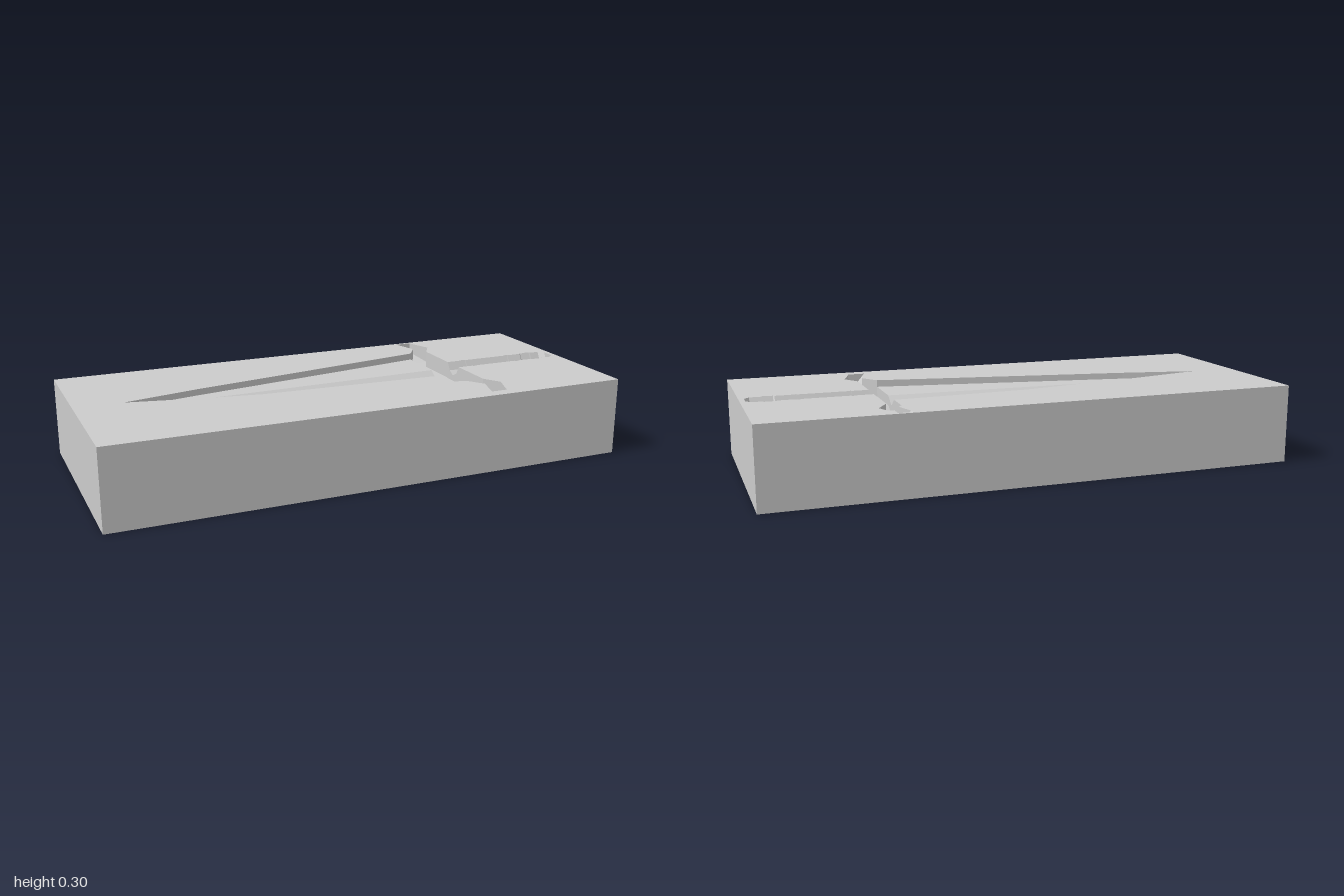
import * as THREE from 'three';

const H = 0.298, L = 2, W = 0.854;   // block size
const C = -0.018;                    // z of the cavity's centre line
const FLOOR = 0.065, GROOVE = 0.095; // guard depths

const solid = new THREE.MeshStandardMaterial({ color: 0xcccccc, flatShading: true });
const open = new THREE.MeshStandardMaterial({ color: 0xcccccc, flatShading: true, side: THREE.DoubleSide });

// Skin a row of cross-sections, each a list of [x, y, z]
function loft(sections) {
  const pos = [];
  for (let i = 0; i < sections.length - 1; i++) {
    const a = sections[i], b = sections[i + 1];
    for (let j = 0; j < a.length - 1; j++) {
      pos.push(...a[j], ...a[j + 1], ...b[j], ...b[j], ...a[j + 1], ...b[j + 1]);
    }
  }
  const g = new THREE.BufferGeometry();
  g.setAttribute('position', new THREE.Float32BufferAttribute(pos, 3));
  g.computeVertexNormals();
  return g;
}

// Full cross-section at x from half points [offset, depth], outer edge to centre
function section(x, half) {
  const right = half.map(([s, d]) => [x, H - d, C + s]);
  const left = half.slice(0, -1).reverse().map(([s, d]) => [x, H - d, C - s]);
  return [...right, ...left];
}

const blade = (x, r, v, d) => section(x, [[r, 0], [r, d], [v, d], [0, d + v * 0.68]]);
const guardFloor = (x) => section(x, [[0.232, FLOOR], [0.232, FLOOR], [0.045, FLOOR], [0, GROOVE]]);
const handle = (x, r, edge = r) =>
  section(x, [[edge, 0], [r, 0], [r * 0.6, r * 0.68], [0, r]]);

// Handle stations: x, half width (rings are slightly wider)
const grip = [
  [0.525, 0.045], [0.59, 0.045], [0.59, 0.05], [0.608, 0.05], [0.608, 0.045],
  [0.79, 0.045], [0.79, 0.05], [0.81, 0.05], [0.81, 0.045],
  [0.87, 0.045], [0.875, 0.05], [0.89, 0.05], [0.89, 0.053], [0.92, 0.053], [0.92, 0.045],
  [0.96, 0.045], [0.98, 0.025],
];

// Guard ends: offset, top x pair, floor x pair, depth
const horns = [
  [0.232, 0.45, 0.525, 0.45, 0.525, FLOOR],
  [0.297, 0.495, 0.565, 0.495, 0.565, FLOOR],
  [0.372, 0.472, 0.537, 0.5, 0.537, 0.045],
  [0.398, 0.465, 0.53, 0.498, 0.53, 0.038],
];

export function createModel() {
  const model = new THREE.Group();
  const add = (geometry, material, name) => {
    const mesh = new THREE.Mesh(geometry, material);
    mesh.name = name;
    model.add(mesh);
    return mesh;
  };

  // Block sides and bottom: a box with its top face left out
  const box = new THREE.BoxGeometry(L, H, W);
  const index = Array.from(box.index.array);
  index.splice(12, 6);
  box.setIndex(index);
  box.clearGroups();
  add(box, solid, 'blockSides').position.y = H / 2;

  // Top face with the cavity outline cut out
  const half = [
    [-0.82, 0], [-0.53, 0.062],
    ...horns.map((h) => [h[1], h[0]]),
    ...horns.map((h) => [h[2], h[0]]).reverse(),
    ...grip,
  ];
  const outline = [...half, ...half.slice(1).reverse().map(([x, s]) => [x, -s])];
  const top = new THREE.Shape([
    [-L / 2, -W / 2], [L / 2, -W / 2], [L / 2, W / 2], [-L / 2, W / 2],
  ].map(([x, y]) => new THREE.Vector2(x, y)));
  top.holes.push(new THREE.Path(outline.map(([x, s]) => new THREE.Vector2(x, -C - s))));
  add(new THREE.ShapeGeometry(top).rotateX(-Math.PI / 2), solid, 'blockTop').position.y = H;

  // Blade recess with its central groove, ending at the guard's wall
  add(loft([
    blade(-0.82, 0, 0, 0.022),
    blade(-0.53, 0.062, 0.01, 0.024),
    blade(0.45, 0.232, 0.045, 0.026),
    guardFloor(0.45),
  ]), open, 'bladeRecess');

  // Middle of the guard, with the wall beside the handle
  add(loft([
    guardFloor(0.45),
    guardFloor(0.525),
    handle(0.525, 0.045, 0.232),
  ]), open, 'guardRecess');

  // Handle recess with rings and a closed tapered end
  add(loft([
    ...grip.map(([x, r]) => handle(x, r)),
    section(0.98, [[0, 0], [0, 0], [0, 0], [0, 0]]),
  ]), open, 'handleRecess');

  // Bent guard ends, mirrored, closed by an upright wall
  for (const side of [1, -1]) {
    const rows = horns.map(([s, a, b, fa, fb, d]) => {
      const z = C + side * s;
      return [[a, H, z], [fa, H - d, z], [fb, H - d, z], [b, H, z]];
    });
    const last = rows[rows.length - 1];
    rows.push([last[0], last[0], last[3], last[3]]);
    add(loft(rows), open, side > 0 ? 'guardEndFront' : 'guardEndBack');
  }
  return model;
}
